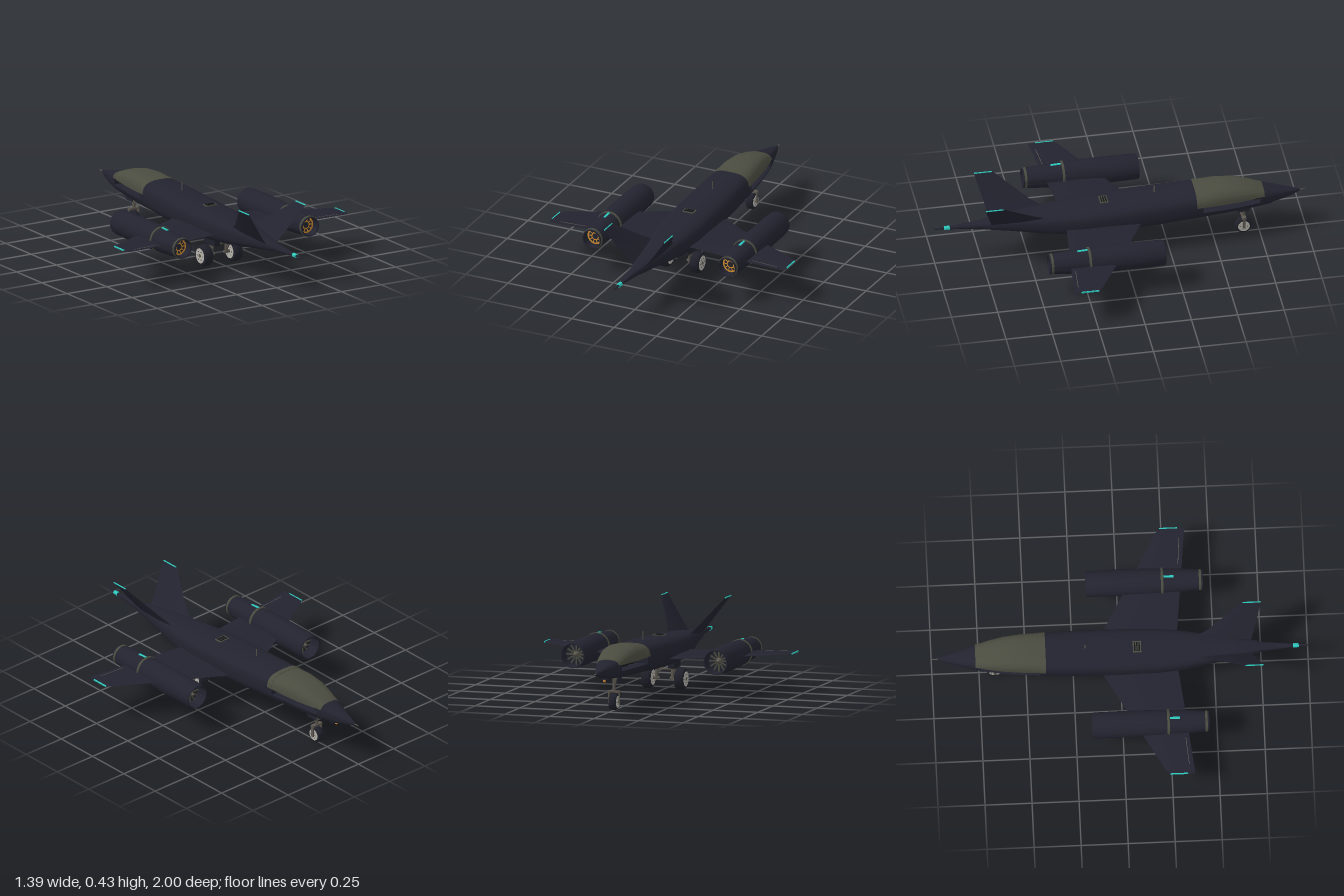
import * as THREE from 'three';
import { toCreasedNormals } from 'three/addons/utils/BufferGeometryUtils.js';

const mat = (name, color, side = THREE.FrontSide) => {
  const m = new THREE.MeshStandardMaterial({ color, side });
  m.name = name;
  return m;
};
const V = (x, y, z) => new THREE.Vector3(x, y, z);

// Fuselage stations: z, half width, bottom, top
const BODY = [
  [-0.97, 0.004, 0.229, 0.237], [-0.93, 0.019, 0.213, 0.248], [-0.85, 0.043, 0.196, 0.266],
  [-0.77, 0.065, 0.184, 0.283], [-0.7, 0.081, 0.179, 0.31], [-0.62, 0.095, 0.175, 0.33],
  [-0.52, 0.105, 0.17, 0.336], [-0.4, 0.113, 0.165, 0.324], [-0.2, 0.119, 0.152, 0.315],
  [0, 0.122, 0.145, 0.305], [0.2, 0.118, 0.142, 0.293], [0.32, 0.106, 0.148, 0.284],
  [0.45, 0.084, 0.163, 0.274], [0.6, 0.055, 0.184, 0.258], [0.73, 0.034, 0.2, 0.246],
  [0.74, 0.028, 0.203, 0.243], [0.87, 0.014, 0.212, 0.233], [1, 0.003, 0.219, 0.225],
];

function station(z) {
  const i = Math.min(BODY.length - 2, Math.max(0, BODY.findIndex((s) => s[0] >= z) - 1));
  const t = (z - BODY[i][0]) / (BODY[i + 1][0] - BODY[i][0]);
  return BODY[i].map((v, k) => v + (BODY[i + 1][k] - v) * t);
}

// Closed skin over rings of points, turned to face outwards
function loft(rings, crease = 0.6) {
  const n = rings[0].length, pts = rings.flat(), idx = [];
  for (let r = 0; r < rings.length - 1; r++) {
    for (let i = 0; i < n; i++) {
      const a = r * n + i, b = r * n + (i + 1) % n;
      idx.push(a, b, a + n, b, b + n, a + n);
    }
  }
  const last = (rings.length - 1) * n;
  for (let i = 1; i < n - 1; i++) idx.push(0, i + 1, i, last, last + i, last + i + 1);
  let volume = 0;
  for (let i = 0; i < idx.length; i += 3) {
    volume += pts[idx[i]].dot(pts[idx[i + 1]].clone().cross(pts[idx[i + 2]]));
  }
  if (volume < 0) idx.reverse();
  const g = new THREE.BufferGeometry().setFromPoints(pts);
  g.setIndex(idx);
  return toCreasedNormals(g, crease);
}

// Stretch of fuselage, optionally cut flat below or above a height
function bodyPart(z0, z1, low = -1, high = 9) {
  const zs = [z0, ...BODY.map((s) => s[0]).filter((z) => z > z0 && z < z1), z1];
  return loft(zs.map((z) => {
    const [, w, b, t] = station(z), ring = [];
    for (let i = 0; i < 48; i++) {
      const a = i / 48 * Math.PI * 2, c = Math.cos(a), s = Math.sin(a);
      const y = (b + t) / 2 + Math.sign(s) * Math.abs(s) ** 0.68 * (t - b) / 2;
      ring.push(V(Math.sign(c) * Math.abs(c) ** 0.68 * w, Math.min(high, Math.max(low, y)), z));
    }
    return ring;
  }));
}

// Thin tapered surface; sections are [leading point, trailing point, half thickness]
function foil(sections, normal) {
  const shape = [[0, 0], [0.12, 0.7], [0.45, 1], [1, 0.08], [1, -0.08], [0.45, -1], [0.12, -0.7]];
  return loft(sections.map(([le, te, th]) => shape.map(([u, v]) =>
    le.clone().lerp(te, u).addScaledVector(normal, v * th))));
}

export function createModel() {
  const root = new THREE.Group();
  const hull = mat('hull midnight', 0x232330);
  const olive = mat('canopy olive', 0x4b4c40);
  const dark = mat('dark interior', 0x141418);
  const tyre = mat('tyre slate', 0x20202b);
  const metal = mat('strut metal', 0x5c574f);
  const hub = mat('hub grey', 0xb4b1aa);
  const teal = mat('teal light', 0x2cc9bd);
  const amber = mat('amber', 0xcf8c30);

  const add = (name, g, m, parent = root, x = 0, y = 0, z = 0) => {
    const mesh = new THREE.Mesh(g, m);
    mesh.name = name;
    mesh.position.set(x, y, z);
    parent.add(mesh);
    return mesh;
  };
  const box = (name, w, h, d, m, x, y, z, parent = root) =>
    add(name, new THREE.BoxGeometry(w, h, d), m, parent, x, y, z);
  const rod = (name, a, b, r, m, parent = root, r2 = r) => {
    const mesh = add(name, new THREE.CylinderGeometry(r2, r, a.distanceTo(b), 12), m, parent);
    mesh.position.copy(a).lerp(b, 0.5);
    mesh.quaternion.setFromUnitVectors(V(0, 1, 0), b.clone().sub(a).normalize());
    return mesh;
  };
  const lathe = (points, seg = 40) => toCreasedNormals(new THREE.LatheGeometry(
    points.map(([r, y]) => new THREE.Vector2(r, y)), seg).rotateX(Math.PI / 2), 0.6);

  // Fuselage, with a narrow open sill below the canopy
  add('noseCone', bodyPart(-0.97, -0.745), hull);
  add('cockpitTub', bodyPart(-0.745, -0.43, -1, 0.223), hull);
  add('canopy', bodyPart(-0.745, -0.43, 0.256), olive);
  add('canopyBackFrame', bodyPart(-0.43, -0.4), hull);
  add('rearFuselage', bodyPart(-0.4, 1), hull);
  // Olive caps that carry the canopy over its end frames
  for (const [a, b] of [[-0.77, -0.745], [-0.43, -0.397]]) {
    const cap = add('canopyEndFrame', bodyPart(a, b, 0.256), olive);
    cap.scale.set(1.012, 1.006, 1);
  }
  box('cockpitRail', 0.1, 0.006, 0.31, dark, 0, 0.236, -0.588);
  for (const z of [-0.46, -0.57, -0.72]) box('seatMount', 0.07, 0.012, 0.025, dark, 0, 0.229, z);
  rod('noseProbe', V(0, 0.233, -0.96), V(0, 0.233, -1), 0.004, metal, root, 0.002);
  rod('antenna', V(0, 0.3, -0.185), V(0, 0.355, -0.185), 0.003, metal);
  const pod = add('sensorPod', new THREE.SphereGeometry(0.02, 20, 12), hull, root, 0, 0.182, -0.79);
  pod.scale.set(1, 0.8, 2);
  add('sensorEye', new THREE.SphereGeometry(0.009, 12, 8), amber, root, 0, 0.178, -0.823);
  rod('tailLight', V(0, 0.222, 0.92), V(0, 0.222, 0.95), 0.0125, teal, root, 0.0105);

  // Spine vent
  box('ventFrame', 0.064, 0.006, 0.044, olive, 0, 0.3, 0.09);
  for (let i = 0; i < 3; i++) box('ventSlot', 0.05, 0.003, 0.007, dark, 0, 0.3035, 0.078 + i * 0.012);

  for (const s of [1, -1]) {
    const side = new THREE.Group();
    side.name = s > 0 ? 'leftSide' : 'rightSide';
    root.add(side);

    // Wing with tip light and control surface seam
    add('wing', foil([
      [V(s * 0.05, 0.2, -0.13), V(s * 0.05, 0.2, 0.3), 0.008],
      [V(s * 0.4, 0.203, 0.065), V(s * 0.4, 0.203, 0.34), 0.006],
      [V(s * 0.67, 0.21, 0.215), V(s * 0.67, 0.21, 0.368), 0.003],
      [V(s * 0.695, 0.211, 0.24), V(s * 0.695, 0.211, 0.37), 0.002],
    ], V(0, 1, 0)), hull, side);
    box('wingTipLight', 0.006, 0.007, 0.095, teal, s * 0.694, 0.211, 0.285, side);
    const seam = box('aileronSeam', 0.16, 0.001, 0.003, metal, s * 0.57, 0.2098, 0.335, side);
    seam.rotation.y = -s * 0.08;

    // Canted tail fin
    add('tailFin', foil([
      [V(s * 0.05, 0.245, 0.38), V(s * 0.036, 0.235, 0.7), 0.007],
      [V(s * 0.085, 0.297, 0.475), V(s * 0.078, 0.29, 0.715), 0.005],
      [V(s * 0.178, 0.43, 0.655), V(s * 0.178, 0.43, 0.757), 0.002],
    ], V(s * 0.81, -0.58, 0).normalize()), hull, side);
    rod('finTipLight', V(s * 0.178, 0.43, 0.66), V(s * 0.178, 0.43, 0.755), 0.0035, teal, side);

    // Engine pod
    const pod2 = new THREE.Group();
    pod2.name = 'engine';
    pod2.position.set(s * 0.4, 0.205, 0);
    side.add(pod2);
    add('nacelle', lathe([[0, -0.1], [0.058, -0.1], [0.061, -0.165], [0.066, -0.166], [0.069, -0.15],
      [0.071, 0], [0.07, 0.14], [0.067, 0.24], [0.061, 0.36], [0.053, 0.457], [0.048, 0.457],
      [0.046, 0.41], [0, 0.41]]), hull, pod2);
    const band = (z, r) => add('nacelleBand', lathe([[r - 0.006, z - 0.007], [r, z - 0.006],
      [r, z + 0.006], [r - 0.006, z + 0.007]]), olive, pod2);
    band(0.24, 0.071);
    band(0.442, 0.0565);
    const strip = box('nacelleLight', 0.012, 0.006, 0.055, teal, 0, 0.0655, 0.275, pod2);
    strip.rotation.x = 0.05;
    // Intake fan
    add('intakeSpinner', new THREE.ConeGeometry(0.018, 0.04, 20).rotateX(-Math.PI / 2), metal, pod2, 0, 0, -0.12);
    for (let i = 0; i < 12; i++) {
      const a = i / 12 * Math.PI * 2;
      const blade = box('fanBlade', 0.04, 0.008, 0.004, olive, Math.cos(a) * 0.036, Math.sin(a) * 0.036, -0.105, pod2);
      blade.rotation.z = a;
    }
    // Exhaust grille
    for (const [r0, r1] of [[0.036, 0.045], [0.016, 0.022]]) {
      add('exhaustRing', new THREE.RingGeometry(r0, r1, 40), amber, pod2, 0, 0, 0.413);
    }
    for (let i = 0; i < 10; i++) {
      const a = i / 10 * Math.PI * 2;
      const spoke = box('exhaustSpoke', 0.016, 0.005, 0.002, amber, Math.cos(a) * 0.029, Math.sin(a) * 0.029, 0.412, pod2);
      spoke.rotation.z = a;
    }
  }

  // Wheel turning about x
  function wheel(name, x, r, w, z) {
    const g = new THREE.Group();
    g.name = name;
    g.position.set(x, r, z);
    g.rotation.y = Math.PI / 2;
    root.add(g);
    const h = w / 2;
    add('tyre', lathe([[0, -h * 0.8], [r * 0.7, -h], [r * 0.9, -h * 0.88], [r, -h * 0.5], [r, h * 0.5],
      [r * 0.9, h * 0.88], [r * 0.7, h], [0, h * 0.8]], 36), tyre, g);
    add('hub', lathe([[0, -h - 0.001], [r * 0.7, -h - 0.001], [r * 0.7, h + 0.001], [0, h + 0.001]], 28), hub, g);
    add('hubCap', lathe([[0, -h - 0.003], [r * 0.17, -h - 0.003], [r * 0.17, h + 0.003], [0, h + 0.003]], 16), metal, g);
    for (let i = 0; i < 6; i++) {
      const a = i / 6 * Math.PI * 2;
      box('hubBolt', r * 0.1, r * 0.1, w + 0.004, metal, Math.cos(a) * r * 0.42, Math.sin(a) * r * 0.42, 0, g);
    }
  }

  // Main landing gear
  for (const s of [1, -1]) {
    wheel('mainWheel', s * 0.092, 0.058, 0.054, 0.18);
    rod('mainStrut', V(s * 0.045, 0.05, 0.18), V(s * 0.045, 0.16, 0.18), 0.009, metal);
    rod('mainAxle', V(s * 0.03, 0.058, 0.18), V(s * 0.09, 0.058, 0.18), 0.008, metal);
    rod('mainBrace', V(s * 0.05, 0.07, 0.18), V(s * 0.05, 0.15, 0.235), 0.005, metal);
    box('mainGearMount', 0.035, 0.035, 0.1, tyre, s * 0.05, 0.132, 0.19);
  }
  rod('gearCrossBar', V(-0.06, 0.107, 0.18), V(0.06, 0.107, 0.18), 0.005, metal);

  // Nose landing gear
  wheel('noseWheel', 0, 0.045, 0.042, -0.665);
  rod('noseStrut', V(0, 0.1, -0.665), V(0, 0.19, -0.665), 0.009, metal);
  rod('noseBrace', V(0, 0.11, -0.665), V(0, 0.18, -0.625), 0.005, metal);
  box('forkCrown', 0.064, 0.01, 0.022, metal, 0, 0.1, -0.665);
  for (const s of [1, -1]) {
    box('noseFork', 0.006, 0.066, 0.014, metal, s * 0.029, 0.07, -0.665);
    box('noseGearDoor', 0.004, 0.03, 0.07, hull, s * 0.03, 0.163, -0.66);
  }
  return root;
}
